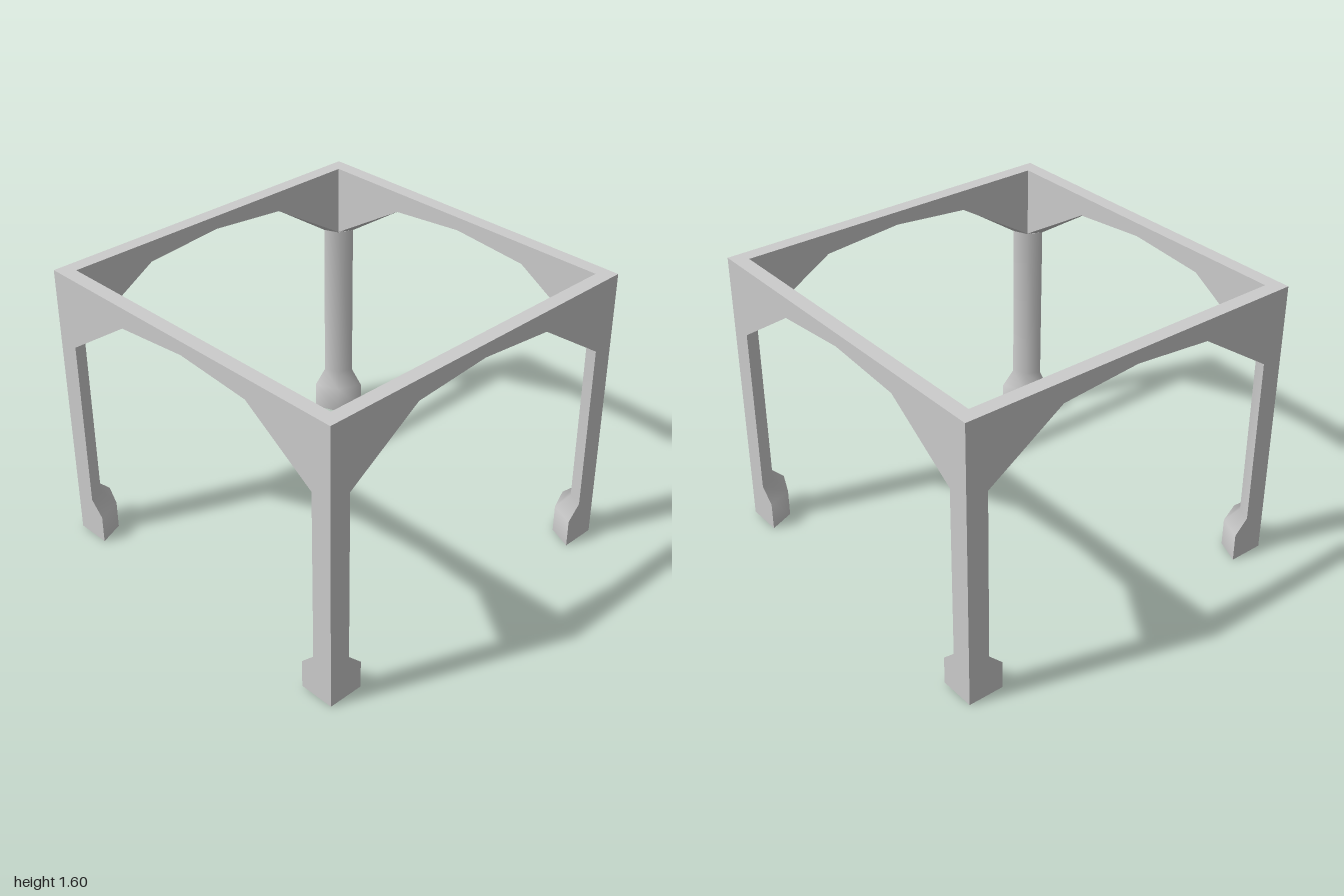
import * as THREE from 'three';

const HEIGHT = 1.6, INNER = 0.92;
const material = new THREE.MeshStandardMaterial({ color: 0xcccccc, side: THREE.DoubleSide });
const flatMaterial = new THREE.MeshStandardMaterial({ color: 0xcccccc, side: THREE.DoubleSide, flatShading: true });

function part(name, geometry, mat = flatMaterial) {
  const mesh = new THREE.Mesh(geometry, mat);
  mesh.name = name;
  return mesh;
}

// mirror a right-hand half outline (ending at x = 0) into a full one
function mirrored(half) {
  const rest = half.slice(0, -1).reverse().map(([x, y]) => [-x, y]);
  return [...half, ...rest];
}

const faceShape = (outline) => new THREE.Shape(outline.map(([x, y]) => new THREE.Vector2(x, y)));

// arch curve along the outer and inner faces of a wall
const crown = [[0.45, 1.485], [0, 1.525]];
const outerArch = mirrored([[0.88, 1.2], ...crown]);
const innerArch = mirrored([[INNER, 1.2], ...crown]);

// slanted strip joining the two arch curves
function soffitGeometry() {
  const positions = [];
  const o = [...outerArch].reverse().map(([x, y]) => [x, y, 1]);
  const n = [...innerArch].reverse().map(([x, y]) => [x, y, INNER]);
  for (let i = 0; i < o.length - 1; i++) {
    positions.push(...o[i], ...n[i], ...o[i + 1], ...o[i + 1], ...n[i], ...n[i + 1]);
  }
  const geometry = new THREE.BufferGeometry();
  geometry.setAttribute('position', new THREE.Float32BufferAttribute(positions, 3));
  geometry.computeVertexNormals();
  return geometry;
}

function createSide() {
  const side = new THREE.Group();
  side.name = 'side';

  // outer face, including the flat sides of both legs and feet
  const outerOutline = mirrored([[1, HEIGHT], [1, 0], [0.8, 0], [0.8, 0.16], [0.88, 0.24], [0.88, 1.2], ...crown]);
  const outer = new THREE.ShapeGeometry(faceShape(outerOutline));
  outer.translate(0, 0, 1);
  side.add(part('archOuterFace', outer));

  // inner face
  const inner = new THREE.ShapeGeometry(faceShape([[INNER, HEIGHT], ...innerArch, [-INNER, HEIGHT]]));
  inner.rotateY(Math.PI);
  inner.translate(0, 0, INNER);
  side.add(part('archInnerFace', inner));

  side.add(part('archUnderside', soffitGeometry()));

  // rounded inside of the corner leg and its wider foot, open below
  const profile = [[0.2, 0], [0.2, 0.16], [0.12, 0.24], [0.12, 1.2]].map(([r, y]) => new THREE.Vector2(r, y));
  const leg = part('cornerLeg', new THREE.LatheGeometry(profile, 2, Math.PI, Math.PI / 2), material);
  leg.position.set(1, 0, 1);
  side.add(leg);
  return side;
}

export function createModel() {
  const model = new THREE.Group();
  model.name = 'squareFrame';

  // four equal sides, each with one corner leg
  for (let i = 0; i < 4; i++) {
    const side = createSide();
    side.rotation.y = i * Math.PI / 2;
    model.add(side);
  }

  // flat top rim
  const square = (s) => [[-s, -s], [s, -s], [s, s], [-s, s]];
  const rim = faceShape(square(1));
  rim.holes.push(faceShape(square(INNER)));
  const rimGeometry = new THREE.ShapeGeometry(rim);
  rimGeometry.rotateX(-Math.PI / 2);
  rimGeometry.translate(0, HEIGHT, 0);
  model.add(part('topRim', rimGeometry));
  return model;
}
